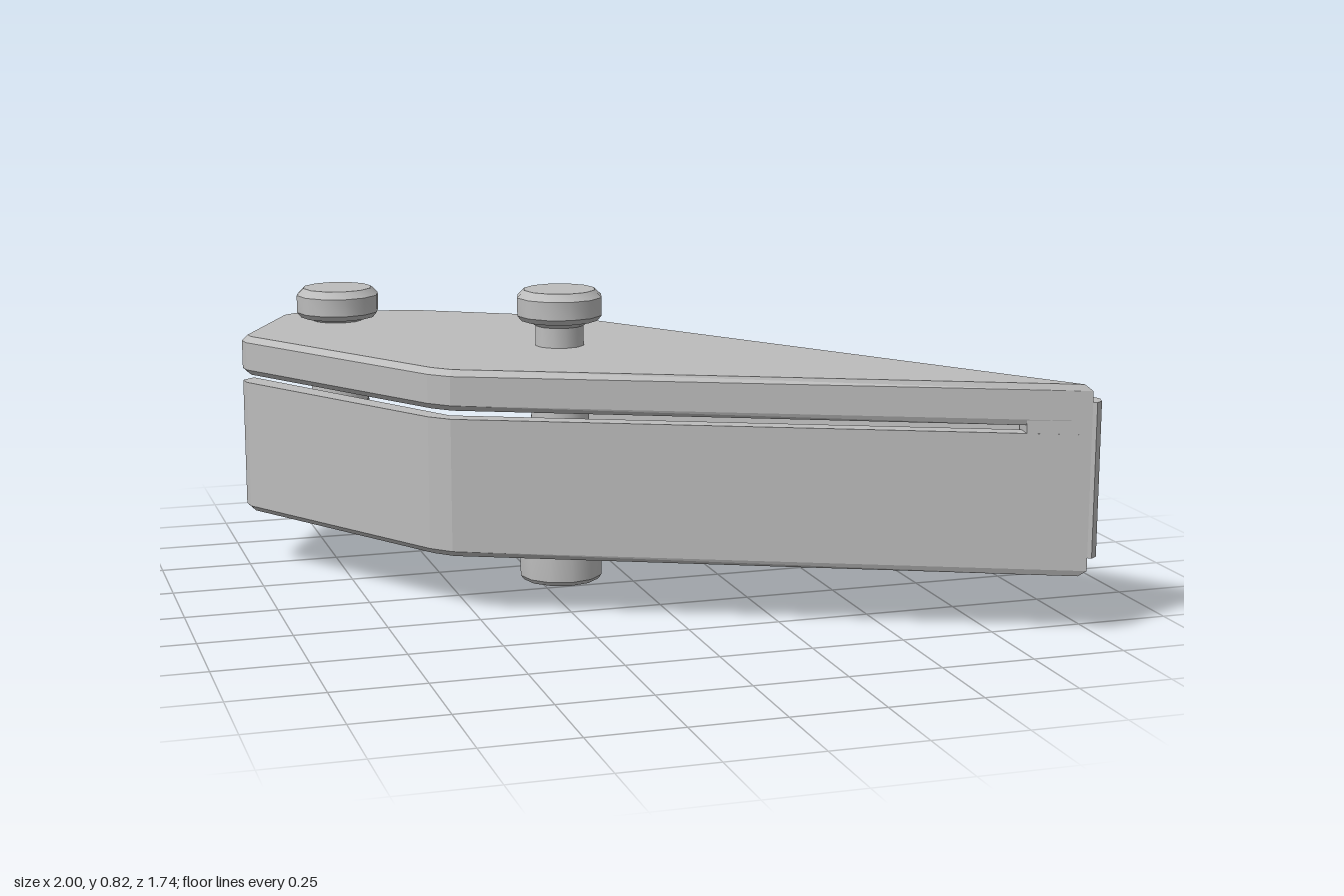
import * as THREE from 'three';
import { toCreasedNormals } from 'three/addons/utils/BufferGeometryUtils.js';

export function createModel() {
  const model = new THREE.Group();
  model.name = 'bracket';
  const grey = new THREE.MeshStandardMaterial({ color: 0xbcbcbc });
  grey.name = 'grey';

  const add = (name, geometry) => {
    const mesh = new THREE.Mesh(geometry, grey);
    mesh.name = name;
    model.add(mesh);
    return mesh;
  };

  // Upright slab from a plan outline of [x, z] points, between two heights
  const slab = (name, plan, y0, y1, bevel = 0) => {
    const shape = new THREE.Shape(plan.map(([x, z]) => new THREE.Vector2(x, -z)));
    const geometry = new THREE.ExtrudeGeometry(shape, {
      depth: y1 - y0 - 2 * bevel,
      bevelEnabled: bevel > 0,
      bevelThickness: bevel,
      bevelSize: bevel,
      bevelOffset: -bevel,
      bevelSegments: 1,
    });
    geometry.rotateX(-Math.PI / 2).translate(0, y0 + bevel, 0);
    return add(name, geometry);
  };

  // Two matching plates with chamfered rims
  const plate = [
    [-1, -0.52], [-0.84, -0.84], [-0.8, -0.87], [-0.76, -0.87],
    [-0.48, -0.835], [-0.43, -0.82], [-0.04, -0.59],
    [0.96, 0.86], [-0.56, 0.19], [-0.61, 0.14], [-0.995, -0.48],
  ];
  slab('lowerPlate', plate, 0.16, 0.275, 0.016);
  slab('upperPlate', plate, 0.555, 0.665, 0.016);

  // Wall along the left and front edges, stopping short of the upper plate
  slab('sideWall', [
    [-1, -0.52], [-0.995, -0.48], [-0.61, 0.14], [-0.56, 0.19], [0.96, 0.86],
    [0.92, 0.79], [-0.55, 0.14], [-0.965, -0.55],
  ], 0.176, 0.535);

  // Short bridge closing the slot near the tip
  slab('slotEnd', [[0.81, 0.793], [0.96, 0.86], [0.9, 0.77], [0.82, 0.73]], 0.5, 0.649);

  // Thick panel standing proud of the long rear edge
  slab('rearPanel', [
    [-0.08, -0.56], [-0.04, -0.59], [0, -0.62], [0.05, -0.59],
    [0.98, 0.75], [1, 0.82], [0.99, 0.85], [0.97, 0.865], [0.87, 0.79],
  ], 0.21, 0.62);

  // Turned pins: wide foot, tapered shank and a chamfered head
  const pin = (name, x, z, y0, headY, top) => {
    const profile = [
      [0, y0], [0.108, y0], [0.117, y0 + 0.012], [0.12, 0.16],
      [0.105, 0.27], [0.072, 0.56], [0.068, headY - 0.015], [0.09, headY],
      [0.108, headY], [0.12, headY + 0.015], [0.12, top - 0.02], [0.1, top], [0, top],
    ].map(([r, y]) => new THREE.Vector2(r, y));
    const geometry = toCreasedNormals(new THREE.LatheGeometry(profile, 12), 0.6);
    add(name, geometry).position.set(x, 0, z);
  };
  pin('rearPin', -0.69, -0.71, 0.08, 0.675, 0.76);
  pin('middlePin', -0.18, -0.11, 0, 0.735, 0.82);

  return model;
}
